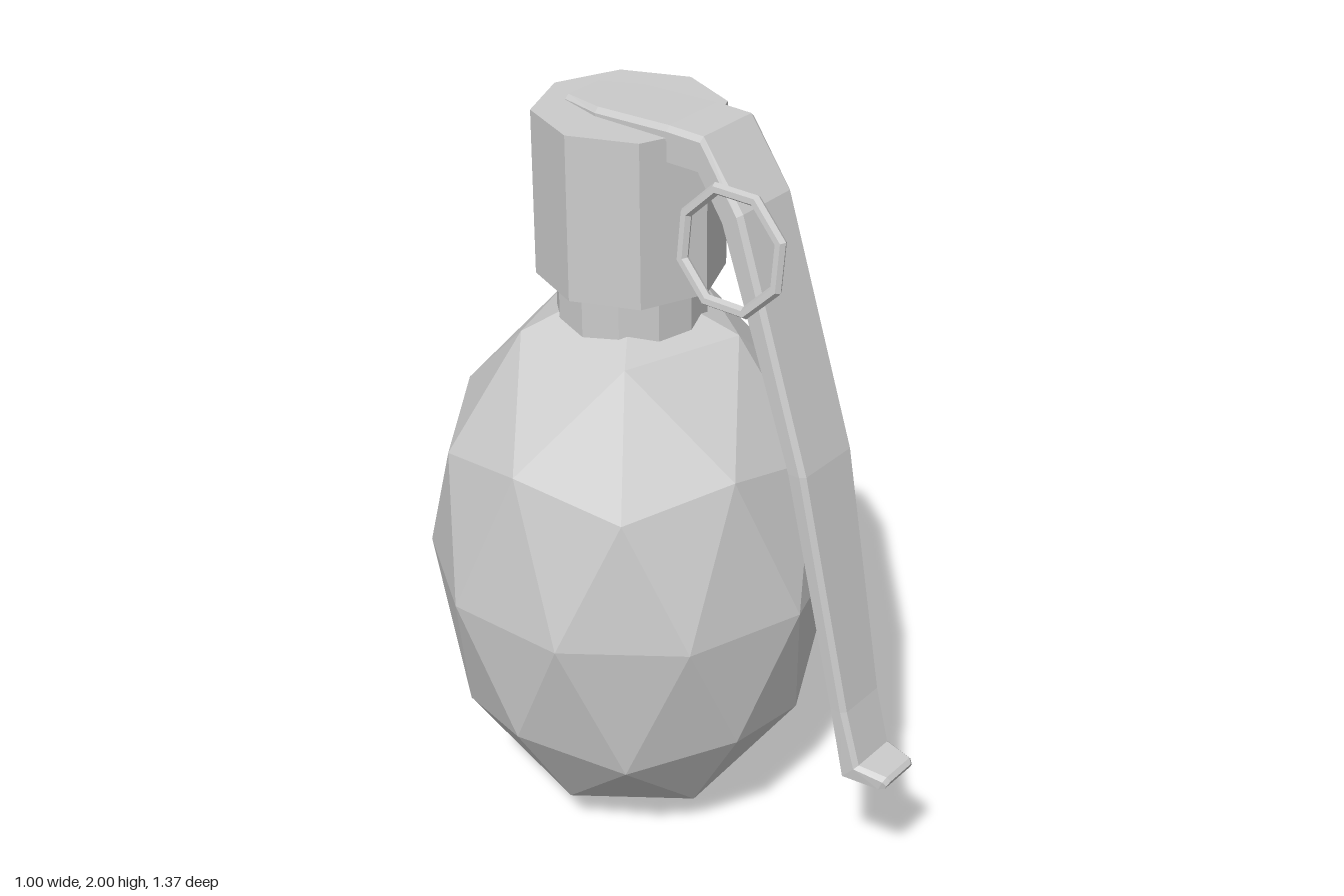
import * as THREE from 'three';

const CENTRE_Z = -0.16;
const material = new THREE.MeshStandardMaterial({ color: 0xcccccc, flatShading: true });

function part(name, geometry, x = 0, y = 0, z = 0) {
  const mesh = new THREE.Mesh(geometry, material);
  mesh.name = name;
  mesh.position.set(x, y, z);
  return mesh;
}

// Bent strip: each station is [outerZ, outerY, innerZ, innerY, halfWidth]
function stripGeometry(stations, chamfer) {
  const positions = [], index = [], n = 6;
  for (const [oz, oy, iz, iy, w] of stations) {
    const t = Math.min(0.5, chamfer / Math.hypot(oz - iz, oy - iy));
    const sz = oz + (iz - oz) * t, sy = oy + (iy - oy) * t;
    const e = w - chamfer;
    positions.push(e, oy, oz, -e, oy, oz, -w, sy, sz, -w, iy, iz, w, iy, iz, w, sy, sz);
  }
  const last = (stations.length - 1) * n;
  for (let i = 0; i < last; i += n) {
    for (let k = 0; k < n; k++) {
      const a = i + k, b = i + (k + 1) % n;
      index.push(a, b, b + n, a, b + n, a + n);
    }
  }
  // End caps
  for (let k = 1; k < n - 1; k++) {
    index.push(0, k + 1, k, last, last + k, last + k + 1);
  }
  const geometry = new THREE.BufferGeometry();
  geometry.setAttribute('position', new THREE.Float32BufferAttribute(positions, 3));
  geometry.setIndex(index);
  const flat = geometry.toNonIndexed();
  flat.computeVertexNormals();
  return flat;
}

export function createModel() {
  const group = new THREE.Group();
  group.name = 'grenade';

  // Faceted egg body, a stretched icosphere with its poles on the y axis
  const body = new THREE.IcosahedronGeometry(1, 1);
  body.rotateZ(-Math.atan(2 / (1 + Math.sqrt(5))));
  body.scale(0.526, 0.768, 0.526);
  group.add(part('body', body, 0, 0.771, CENTRE_Z));

  // Neck and octagonal fuse head
  group.add(part('neck', new THREE.CylinderGeometry(0.185, 0.185, 0.22, 12), 0, 1.47, CENTRE_Z));
  group.add(part('fuseHead', new THREE.CylinderGeometry(0.23, 0.23, 0.415, 8), 0, 1.765, CENTRE_Z));

  // Safety lever: thin over the head, thicker down the front, small foot at the end
  const lever = stripGeometry([
    [-0.30, 1.983, -0.30, 1.965, 0.065],
    [-0.18, 1.992, -0.18, 1.965, 0.10],
    [0.03, 2.0, 0.03, 1.965, 0.10],
    [0.031, 2.0, 0.031, 1.915, 0.10],
    [0.127, 1.998, 0.12, 1.915, 0.10],
    [0.24, 1.84, 0.19, 1.81, 0.10],
    [0.434, 1.23, 0.39, 1.23, 0.10],
    [0.56, 0.60, 0.52, 0.60, 0.077],
    [0.60, 0.455, 0.56, 0.41, 0.074],
    [0.675, 0.447, 0.66, 0.41, 0.062],
    [0.684, 0.435, 0.675, 0.415, 0.056],
  ], 0.012);
  group.add(part('safetyLever', lever));

  // Octagonal pull ring, leaning against the lever
  const ring = new THREE.TorusGeometry(0.143, 0.015, 6, 8);
  ring.rotateZ(Math.PI / 8);
  ring.rotateY(Math.PI / 2);
  ring.rotateZ(-0.13);
  group.add(part('pullRing', ring, -0.122, 1.762, 0.232));

  return group;
}
